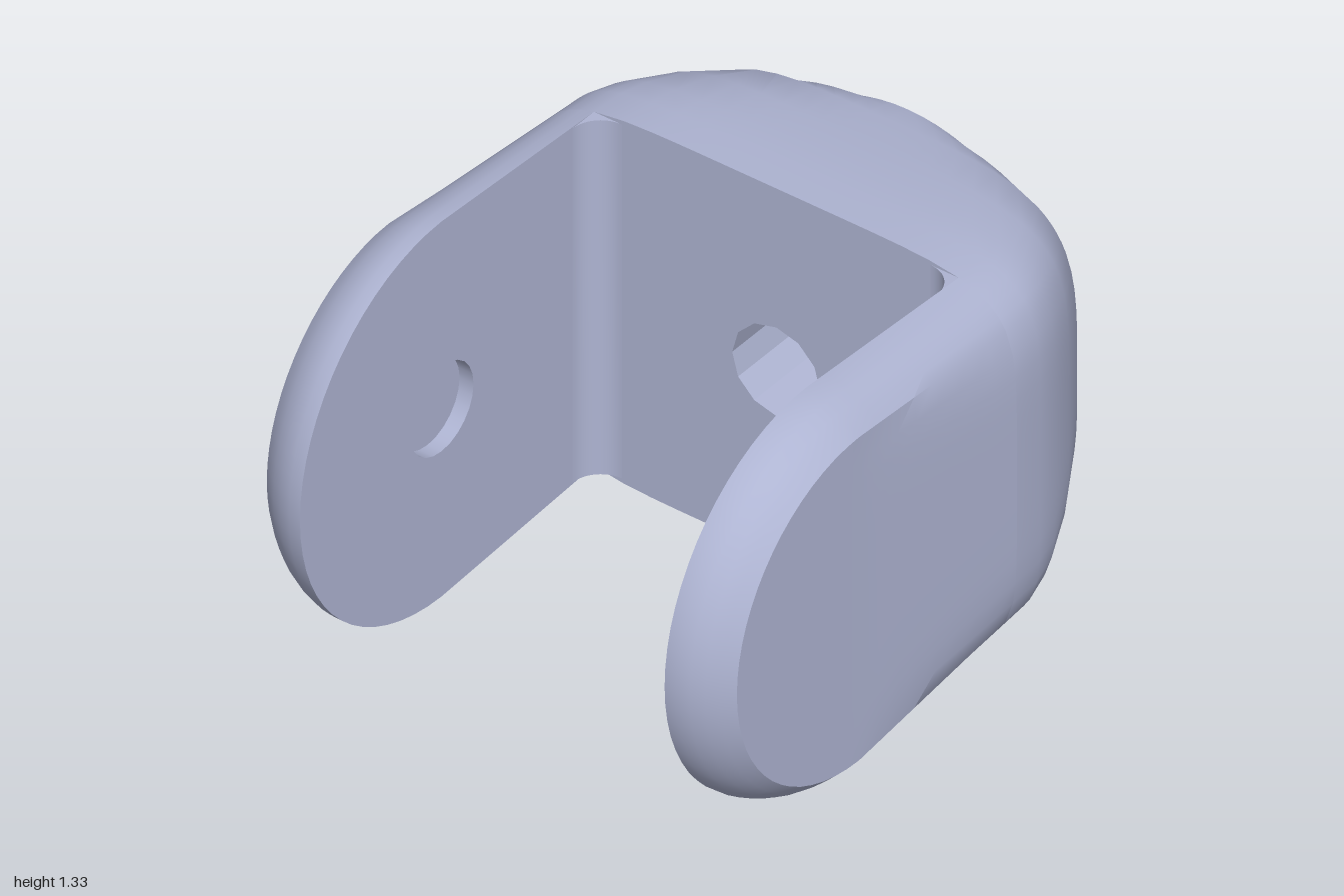
import * as THREE from 'three';
import { toCreasedNormals } from 'three/addons/utils/BufferGeometryUtils.js';

const MID = 0.665;         // height of the centre line
const SLOT_X = 0.38, SLOT_Z = 0.65;
const HOLE_R = 0.157;
const lerp = THREE.MathUtils.lerp;

// Block sections along x: [x, half width, half height, squareness]
const STATIONS = [
  [0.38, 0.858, 0.65, 6], [0.5, 0.852, 0.645, 6], [0.6, 0.83, 0.637, 5.6],
  [0.75, 0.763, 0.616, 5], [0.9, 0.678, 0.587, 4], [0.96, 0.615, 0.573, 2.8],
  [1, 0.56, 0.56, 2],
];

// Arm bevel from the inner edge to the outer face: [z, inset]
const BEVEL = [[0.65, 0], [0.69, 0.002], [0.73, 0.014], [0.77, 0.034], [0.805, 0.06], [0.838, 0.092]];
const FACE_STEPS = 14;

// Point on a superellipse section in the direction t
function sectionPoint([x, w, h, n], t) {
  const c = Math.cos(t), s = Math.sin(t);
  const r = 1 / Math.pow(Math.pow(Math.abs(c) / w, n) + Math.pow(Math.abs(s) / h, n), 1 / n);
  return [x, r * s, r * c];
}

// Skin through rows of points
function skin(rows, crease) {
  const cols = rows[0].length, index = [];
  for (let k = 0; k < rows.length - 1; k++) {
    for (let j = 0; j < cols - 1; j++) {
      const a = k * cols + j, b = a + cols;
      index.push(a, a + 1, b, b, a + 1, b + 1);
    }
  }
  const geo = new THREE.BufferGeometry();
  geo.setAttribute('position', new THREE.Float32BufferAttribute(rows.flat(2), 3));
  geo.setIndex(index);
  return toCreasedNormals(geo, crease);
}

const circle = (n, r, cx = 0) => Array.from({ length: n }, (_, i) => {
  const a = (i / n) * Math.PI * 2;
  return new THREE.Vector2(cx + r * Math.cos(a), r * Math.sin(a));
});

function plate(outline, hole) {
  const shape = new THREE.Shape(outline);
  shape.holes.push(new THREE.Path(hole));
  return new THREE.ShapeGeometry(shape);
}

// Directions of the section columns, shared by arms and block
const first = STATIONS[0];
const edgeY = first[2] * Math.pow(1 - Math.pow(SLOT_Z / first[1], first[3]), 1 / first[3]);
const T0 = Math.atan2(edgeY, SLOT_Z), T1 = 0.56;
const sideAngles = [];
for (let i = 0; i < BEVEL.length; i++) sideAngles.push(lerp(T0, T1, i / (BEVEL.length - 1)));
for (let i = 1; i < FACE_STEPS; i++) sideAngles.push(lerp(T1, -T1, i / FACE_STEPS));
for (let i = BEVEL.length - 1; i >= 0; i--) sideAngles.push(-lerp(T0, T1, i / (BEVEL.length - 1)));

// Arm profile as [z, inset, height factor], top to bottom
const armProfile = BEVEL.map(([z, d]) => [z, d, 1]);
for (let i = 1; i < FACE_STEPS; i++) armProfile.push([0.838, 0.092, 1 - 2 * i / FACE_STEPS]);
for (const [z, d] of [...BEVEL].reverse()) armProfile.push([z, d, -1]);

function armRows() {
  const rows = [];
  // Round tip
  for (let k = 0; k <= 16; k++) {
    const phi = (Math.PI / 2) * (1 - k / 16);
    rows.push(armProfile.map(([z, d, f]) =>
      [-0.335 - (MID - d) * Math.sin(phi), (MID - d) * Math.cos(phi) * f, z]));
  }
  // Straight part, blending into the block section
  for (let k = 1; k <= 8; k++) {
    const t = k / 8;
    rows.push(armProfile.map(([z, d, f], j) => {
      const p = sectionPoint(first, sideAngles[j]);
      return [lerp(-0.335, SLOT_X, t), lerp((MID - d) * f, p[1], t), lerp(z, p[2], t)];
    }));
  }
  return rows;
}

export function createModel() {
  const model = new THREE.Group();
  model.name = 'clevisBracket';
  const body = new THREE.Group();
  body.name = 'body';
  body.position.y = MID;
  model.add(body);
  const paint = new THREE.MeshStandardMaterial({ color: 0xaeb4d2, side: THREE.DoubleSide });
  paint.name = 'paleBlueGrey';
  const add = (parent, name, geo) => {
    const mesh = new THREE.Mesh(geo, paint);
    mesh.name = name;
    parent.add(mesh);
    return mesh;
  };

  // Two arms, the second turned half round the x axis
  const rows = armRows();
  const last = armProfile.length - 1;
  const innerOutline = [
    ...rows.map((r) => r[last]),
    ...rows.slice(1).reverse().map((r) => r[0]),
  ].map(([x, y]) => new THREE.Vector2(x, y));
  const armSkin = skin(rows, 0.6);
  const innerFace = plate(innerOutline, circle(24, 0.15, -0.335)).translate(0, 0, SLOT_Z);
  const recessWall = new THREE.CylinderGeometry(0.15, 0.15, 0.05, 24, 1, true)
    .rotateX(Math.PI / 2).translate(-0.335, 0, SLOT_Z + 0.025);
  const recessFloor = new THREE.CircleGeometry(0.15, 24).rotateY(Math.PI)
    .translate(-0.335, 0, SLOT_Z + 0.05);

  // Concave corner between arm and block
  const corner = new THREE.Shape();
  corner.moveTo(0.28, 0.65);
  corner.lineTo(0.38, 0.65);
  corner.lineTo(0.38, 0.55);
  corner.absarc(0.28, 0.55, 0.1, 0, Math.PI / 2, false);
  const fillet = toCreasedNormals(
    new THREE.ExtrudeGeometry(corner, { depth: 2 * edgeY, bevelEnabled: false, curveSegments: 6 })
      .rotateX(Math.PI / 2).translate(0, edgeY, 0), 0.6);

  for (const [name, turn] of [['frontArm', 0], ['backArm', Math.PI]]) {
    const arm = new THREE.Group();
    arm.name = name;
    arm.rotation.x = turn;
    add(arm, 'armShell', armSkin);
    add(arm, 'armInnerFace', innerFace);
    add(arm, 'recessWall', recessWall);
    add(arm, 'recessFloor', recessFloor);
    add(arm, 'slotCorner', fillet);
    body.add(arm);
  }

  // Block joining the arms, closing from a rounded rectangle to a disc
  const ring = [...sideAngles];
  const bridge = (from, to) => {
    for (let i = 1; i < 16; i++) ring.push(lerp(from, to, i / 16));
  };
  bridge(-T0, -Math.PI + T0);
  ring.push(...sideAngles.map((t) => t - Math.PI));
  bridge(-Math.PI - T0, -2 * Math.PI + T0);
  ring.push(T0 - 2 * Math.PI);
  add(body, 'block', skin(STATIONS.map((s) => ring.map((t) => sectionPoint(s, t))), 0.6));

  // Slot back wall, end disc and the bore between them
  const wall = [];
  for (const start of [T0, T0 + Math.PI]) {
    for (let i = 0; i <= 16; i++) {
      const p = sectionPoint(first, start + (Math.PI - 2 * T0) * i / 16);
      wall.push(new THREE.Vector2(p[2], p[1]));
    }
  }
  add(body, 'slotWall', plate(wall, circle(12, HOLE_R)).rotateY(-Math.PI / 2).translate(SLOT_X, 0, 0));
  add(body, 'endDisc', plate(circle(72, 0.56), circle(12, HOLE_R)).rotateY(Math.PI / 2).translate(1, 0, 0));
  const bore = new THREE.CylinderGeometry(HOLE_R, HOLE_R, 1 - SLOT_X, 12, 1, true)
    .rotateZ(Math.PI / 2).translate((1 + SLOT_X) / 2, 0, 0);
  add(body, 'bore', toCreasedNormals(bore, 0.4));

  return model;
}
